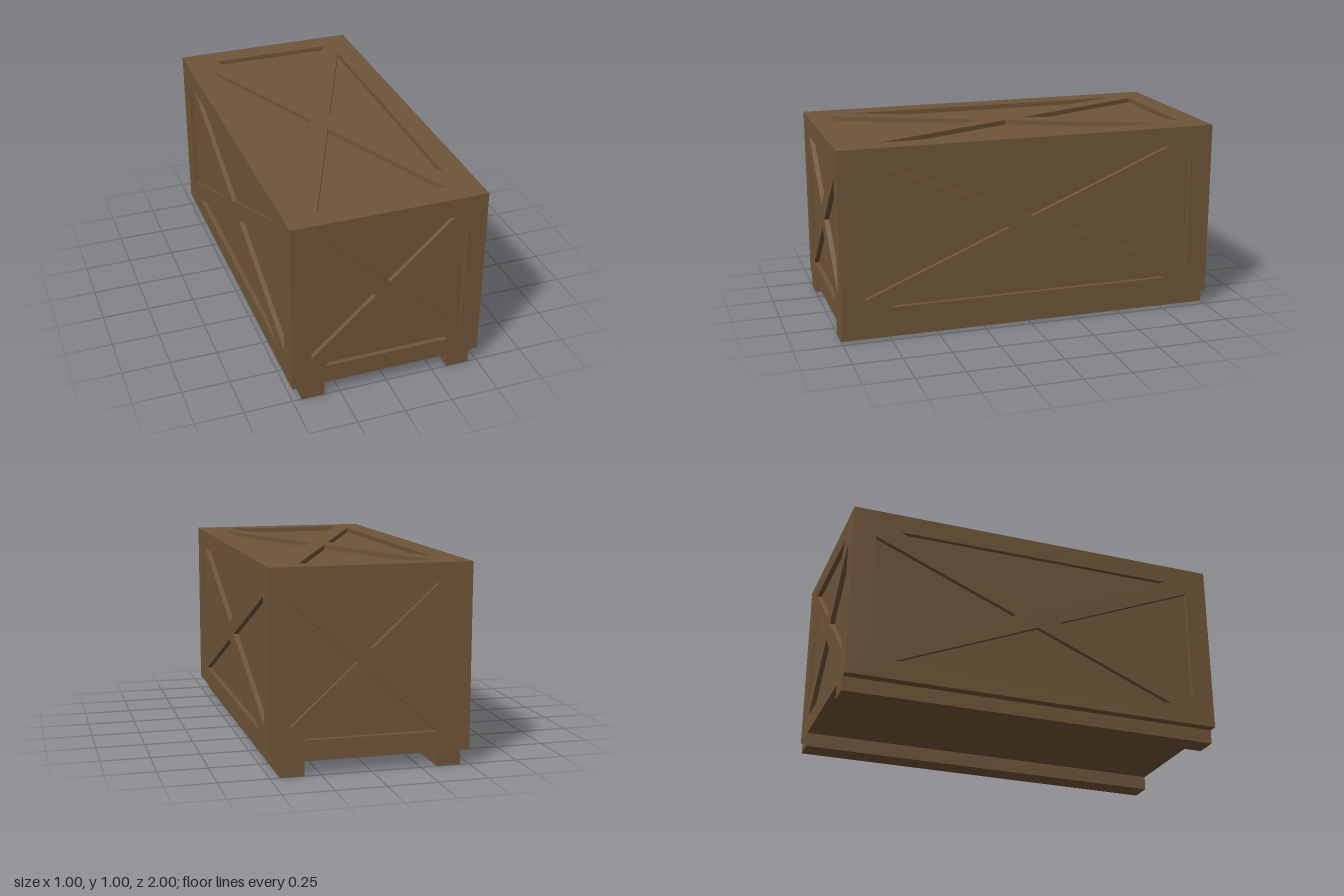
import * as THREE from 'three';

const DEPTH = 0.025;            // thickness of the braced frames
const BASE = 0.075;             // underside of the crate body
const HEIGHT = 1 - BASE;
const MID = BASE + HEIGHT / 2;

// Rectangular frame with an X brace: four triangular openings, centred on the origin.
// upper: half base, base height, apex height; side: base distance, half base, apex distance
function bracedFrame(w, h, upper, side) {
  const shape = new THREE.Shape([
    new THREE.Vector2(-w / 2, -h / 2), new THREE.Vector2(w / 2, -h / 2),
    new THREE.Vector2(w / 2, h / 2), new THREE.Vector2(-w / 2, h / 2),
  ]);
  const [ux, uy, uApex] = upper;
  const [sx, sy, sApex] = side;
  for (const s of [1, -1]) {
    shape.holes.push(new THREE.Path([
      new THREE.Vector2(-ux, s * uy), new THREE.Vector2(ux, s * uy), new THREE.Vector2(0, s * uApex),
    ]));
    shape.holes.push(new THREE.Path([
      new THREE.Vector2(s * sx, -sy), new THREE.Vector2(s * sx, sy), new THREE.Vector2(s * sApex, 0),
    ]));
  }
  return new THREE.ExtrudeGeometry(shape, { depth: DEPTH, bevelEnabled: false });
}

export function createModel() {
  const wood = new THREE.MeshStandardMaterial({ color: 0x6f5539 });
  wood.name = 'brown wood';
  const crate = new THREE.Group();
  crate.name = 'crate';

  const add = (name, geometry, x, y, z) => {
    const mesh = new THREE.Mesh(geometry, wood);
    mesh.name = name;
    mesh.position.set(x, y, z);
    crate.add(mesh);
    return mesh;
  };

  // Recessed inner body
  add('innerPanels', new THREE.BoxGeometry(1 - 2 * DEPTH, HEIGHT - DEPTH, 2 - 2 * DEPTH),
    0, MID - DEPTH / 2, 0);

  // End frames
  const endFrame = bracedFrame(1, HEIGHT, [0.33, 0.3625, 0.0635], [0.4, 0.3, 0.07]);
  add('frontFrame', endFrame, 0, MID, 1 - DEPTH);
  add('backFrame', endFrame, 0, MID, -1 + DEPTH).rotation.y = Math.PI;

  // Long side frames
  const sideFrame = bracedFrame(2 - 2 * DEPTH, HEIGHT, [0.752, 0.3625, 0.05], [0.88, 0.3125, 0.122]);
  add('leftFrame', sideFrame, 0.5 - DEPTH, MID, 0).rotation.y = Math.PI / 2;
  add('rightFrame', sideFrame, -0.5 + DEPTH, MID, 0).rotation.y = -Math.PI / 2;

  // Lid frame
  const lidFrame = bracedFrame(1 - 2 * DEPTH, 2 - 2 * DEPTH, [0.327, 0.878, 0.12], [0.378, 0.76, 0.05]);
  add('lidFrame', lidFrame, 0, 1 - DEPTH, 0).rotation.x = -Math.PI / 2;

  // Skids under the body
  for (const s of [1, -1]) {
    add(s > 0 ? 'leftSkid' : 'rightSkid', new THREE.BoxGeometry(0.12, BASE, 2), s * 0.392, BASE / 2, 0);
  }
  return crate;
}
